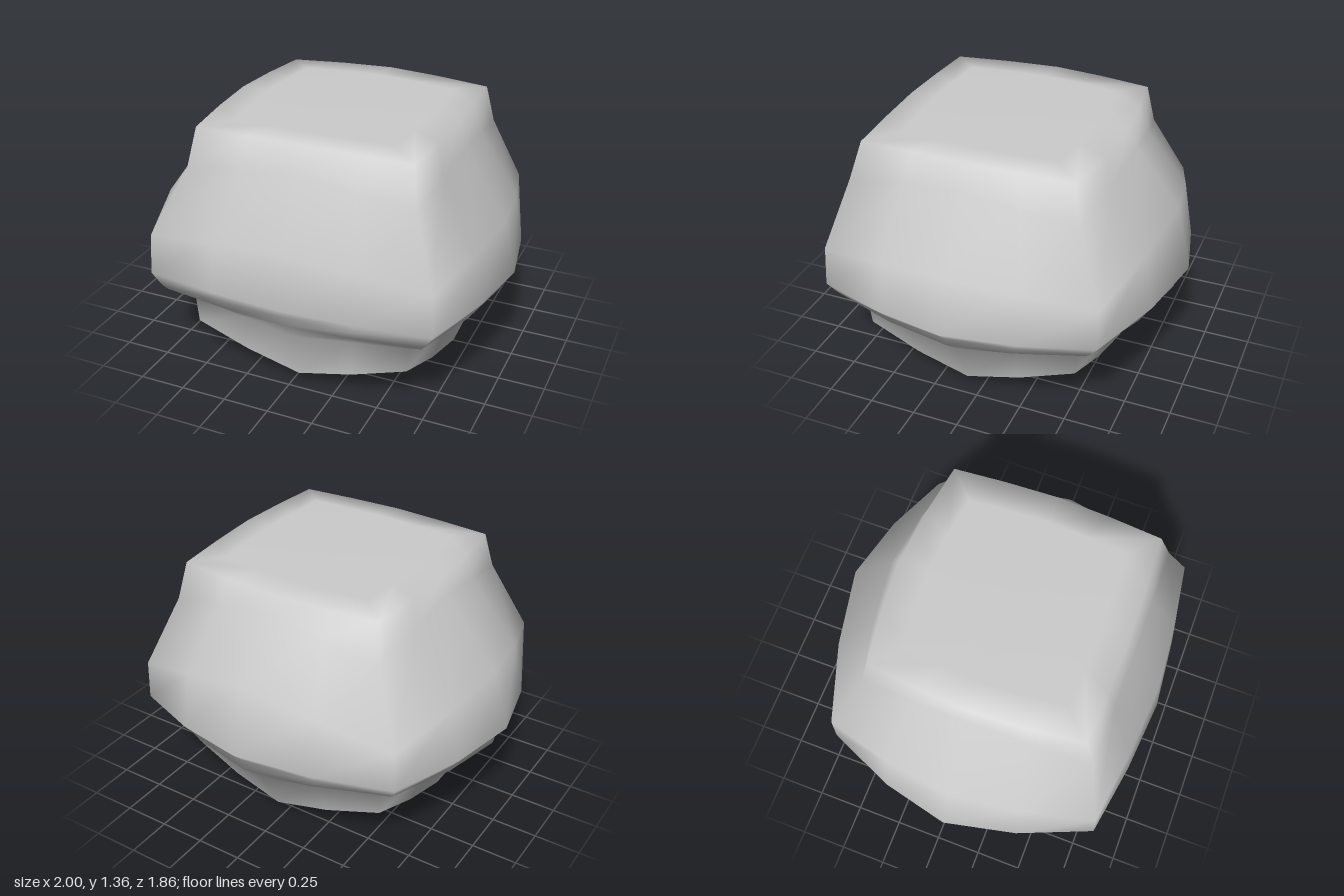
import * as THREE from 'three';

// One row per level, bottom to top.
// Corners: [left x, right x, front z, back z, y]
const corners = [
  [-0.57, 0.63, 0.68, -0.51, 0.215],
  [-0.58, 0.65, 0.69, -0.53, 0.385],
  [-0.69, 0.74, 0.78, -0.60, 0.44],
  [-0.71, 0.76, 0.80, -0.63, 0.47],
  [-0.75, 0.81, 0.83, -0.68, 0.55],
  [-0.74, 0.80, 0.82, -0.68, 0.77],
  [-0.56, 0.67, 0.71, -0.53, 1.14],
  [-0.53, 0.63, 0.65, -0.49, 1.345],
];
// Side middles: [reach, y] for front, right, back, left
const middles = [
  [[0.71, 0.06], [0.69, 0.06], [-0.57, 0.06], [-0.62, 0.06]],
  [[0.76, 0.32], [0.79, 0.32], [-0.70, 0.32], [-0.76, 0.32]],
  [[0.87, 0.45], [0.93, 0.45], [-0.86, 0.48], [-0.93, 0.46]],
  [[0.86, 0.49], [0.92, 0.48], [-0.84, 0.52], [-0.925, 0.50]],
  [[0.93, 0.57], [1.00, 0.56], [-0.93, 0.61], [-1.00, 0.58]],
  [[0.90, 0.87], [0.935, 0.85], [-0.85, 0.97], [-0.91, 0.90]],
  [[0.72, 1.22], [0.70, 1.22], [-0.61, 1.27], [-0.61, 1.26]],
  [[0.67, 1.355], [0.66, 1.355], [-0.555, 1.355], [-0.58, 1.355]],
];

// A closed 16-point ring: middles, corners and slightly bulged quarter points
function ring(level) {
  const [l, r, f, b, y] = corners[level];
  const m = middles[level];
  const V = (x, h, z) => new THREE.Vector3(x, h, z);
  const key = [
    V(0.04, m[0][1], m[0][0]), V(r, y, f),
    V(m[1][0], m[1][1], 0.08), V(r, y, b),
    V(0.04, m[2][1], m[2][0]), V(l, y, b),
    V(m[3][0], m[3][1], 0.06), V(l, y, f),
  ];
  const out = [];
  key.forEach((p, i) => {
    const q = key[(i + 1) % 8];
    const mid = i % 2 ? q : p;
    const corner = i % 2 ? p : q;
    const quarter = corner.clone().lerp(mid, 0.5);
    const alongX = mid.x === 0.04;
    const axis = alongX ? 'z' : 'x';
    quarter[axis] = THREE.MathUtils.lerp(corner[axis], mid[axis], 0.65);
    quarter.y = THREE.MathUtils.lerp(corner.y, mid.y, 0.58);
    out.push(p, quarter);
  });
  return out;
}

// Smaller copy of a ring, pulled toward a centre point
const inset = (pts, centre, s, sy) => pts.map((p) => new THREE.Vector3(
  centre.x + (p.x - centre.x) * s,
  centre.y + (p.y - centre.y) * sy,
  centre.z + (p.z - centre.z) * s));

// Skin through rings; the optional tip closes the last one
function loft(rings, tip) {
  const n = rings[0].length;
  const pts = rings.flat();
  const index = [];
  for (let k = 0; k < rings.length - 1; k++) {
    for (let i = 0; i < n; i++) {
      const a = k * n + i, b = k * n + (i + 1) % n;
      index.push(a, b, b + n, a, b + n, a + n);
    }
  }
  const last = (rings.length - 1) * n;
  for (let i = 0; i < n; i++) index.push(last + i, last + (i + 1) % n, pts.length);
  const g = new THREE.BufferGeometry().setFromPoints([...pts, tip]);
  g.setIndex(index);
  g.computeVertexNormals();
  return g;
}

export function createModel() {
  const group = new THREE.Group();
  const material = new THREE.MeshStandardMaterial({ color: 0xcccccc });
  const add = (name, geometry) => {
    const mesh = new THREE.Mesh(geometry, material);
    mesh.name = name;
    group.add(mesh);
  };

  // Bulging wall that rolls softly into the flat top
  const rings = corners.map((_, i) => ring(i));
  const topCentre = new THREE.Vector3(0.04, 1.362, 0.08);
  const rim = rings[rings.length - 1];
  add('body', loft([...rings, inset(rim, topCentre, 0.75, 0.3)], topCentre));

  // Shallow domed underside with a sharp edge
  const baseCentre = new THREE.Vector3(0.04, 0, 0.08);
  const base = rings[0].slice().reverse();
  add('underside', loft([base, inset(base, baseCentre, 0.5, 0.42)], baseCentre));

  return group;
}
